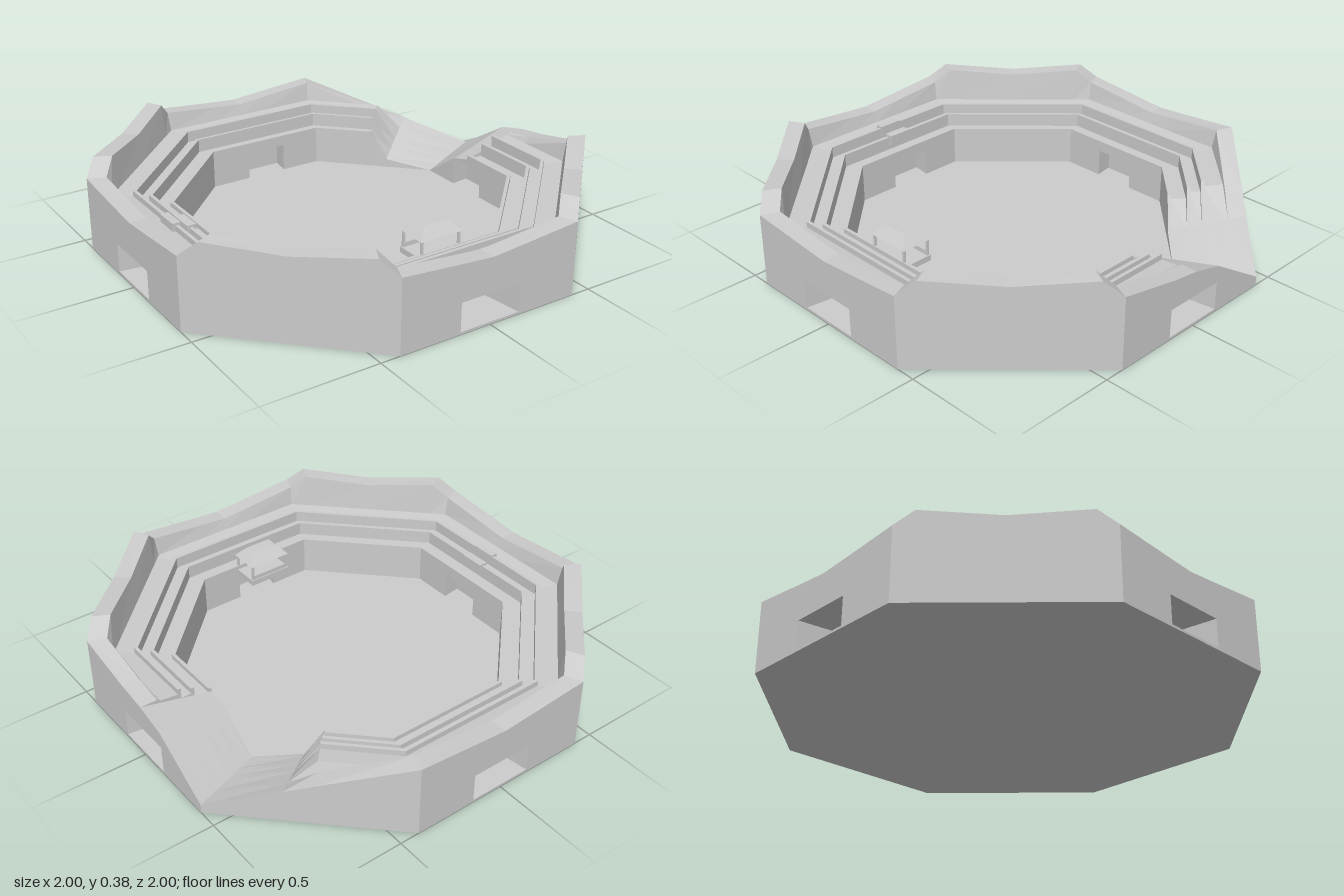
import * as THREE from 'three';

const mat = new THREE.MeshStandardMaterial({ color: 0xcccccc, flatShading: true, side: THREE.DoubleSide });
const FLOOR = 0.01, DOOR = 0.135, IN = 0.675;
const D0 = 0.331, D1 = 0.669; // door limits along a straight side

// point on octagon side s (0 = front, counting towards +x), fraction t, apothem a
function at(s, t, a, y) {
  const r = a / Math.cos(Math.PI / 8);
  const k = (i) => (i - 0.5) * Math.PI / 4;
  const x = THREE.MathUtils.lerp(Math.sin(k(s)), Math.sin(k(s + 1)), t) * r;
  const z = THREE.MathUtils.lerp(Math.cos(k(s)), Math.cos(k(s + 1)), t) * r;
  return new THREE.Vector3(x, y, z);
}

// flat-faced strip between pairs of cross-sections
function loft(pairs) {
  const pos = [];
  for (const [A, B] of pairs) {
    for (let i = 0; i < A.length - 1; i++) {
      for (const p of [A[i], B[i], B[i + 1], A[i], B[i + 1], A[i + 1]]) pos.push(p.x, p.y, p.z);
    }
  }
  const g = new THREE.BufferGeometry();
  g.setAttribute('position', new THREE.Float32BufferAttribute(pos, 3));
  g.computeVertexNormals();
  return g;
}

function add(parent, name, geo, x = 0, y = 0, z = 0) {
  const m = new THREE.Mesh(geo, mat);
  m.name = name;
  m.position.set(x, y, z);
  parent.add(m);
  return m;
}

// seating tiers from the foot of the rim down to the arena wall: [apothem, height]
const TIERS = [
  [0.91, 0.235], [0.83, 0.225], [0.83, 0.25], [0.815, 0.25], [0.815, 0.2], [0.77, 0.2],
  [0.77, 0.225], [0.755, 0.225], [0.755, 0.165], [0.69, 0.165], [0.69, 0.185], [IN, 0.185],
];

// cross-section of the bowl; a given inner height turns the tiers into a rubble ramp
function section(s, [t, h, inner], door) {
  const prof = [[1, h], [0.925, h], ...TIERS].map(([a, y]) => {
    if (inner !== undefined) y = h + (inner - h) * (1 - a) / (1 - IN);
    return at(s, t, a, y);
  });
  const foot = door ? DOOR : 0;
  return [at(s, t, 1, foot), ...prof, at(s, t, IN, foot || FLOOR)];
}

// stops along each side: [fraction, rim height, ramp inner height]
const STRAIGHT = [[0, 0.32], [D0, 0.296], [0.5, 0.285], [D1, 0.296], [1, 0.32]];
const DIAGONAL = [[0, 0.32], [0.1, 0.385], [0.5, 0.36], [0.9, 0.385], [1, 0.32]];
const BROKEN_STRAIGHT = [[0, 0.32], [D0, 0.265], [0.5, 0.245], [0.5, 0.245, 0.165], [D1, 0.21, 0.137], [1, 0.04, FLOOR]];
const BROKEN_DIAGONAL = [[0, 0.04, FLOOR], [0.38, 0.146, 0.05], [0.53, 0.19], [1, 0.32]];

function bowl() {
  const pairs = [];
  for (let s = 0; s < 8; s++) {
    const stops = s === 2 ? BROKEN_STRAIGHT : s === 3 ? BROKEN_DIAGONAL : s % 2 ? DIAGONAL : STRAIGHT;
    for (let i = 0; i < stops.length - 1; i++) {
      const door = s % 2 === 0 && stops[i][0] >= D0 && stops[i + 1][0] <= D1;
      pairs.push([section(s, stops[i], door), section(s, stops[i + 1], door)]);
    }
  }
  return loft(pairs);
}

// tapering passage through a straight side, closed by a gate
function entrance(s) {
  const g = new THREE.Group();
  g.name = 'entrance';
  const frame = (a) => [[D0, FLOOR], [D0, DOOR], [D1, DOOR], [D1, FLOOR]].map(([t, y]) => at(s, t, a, y));
  add(g, 'passage', loft([[frame(1), frame(IN)]]));
  const f = frame(0.76);
  add(g, 'gate', loft([[[f[0], f[1]], [f[3], f[2]]]]));
  return g;
}

// roofed viewing box on the front arena wall
function viewingBox() {
  const g = new THREE.Group();
  g.name = 'viewingBox';
  g.position.set(0, 0, 0.622);
  add(g, 'platform', new THREE.BoxGeometry(0.2, 0.025, 0.14), 0, 0.155, 0);
  add(g, 'parapet', new THREE.BoxGeometry(0.19, 0.02, 0.01), 0, 0.177, -0.06);
  for (const x of [-0.09, 0.09]) {
    for (const z of [-0.06, 0.06]) add(g, 'post', new THREE.BoxGeometry(0.01, 0.075, 0.01), x, 0.205, z);
  }
  // hipped roof with a flat top
  const roof = new THREE.BoxGeometry(0.2, 0.045, 0.14);
  const p = roof.attributes.position;
  for (let i = 0; i < p.count; i++) {
    if (p.getY(i) > 0) p.setXYZ(i, p.getX(i) * 0.6, p.getY(i), p.getZ(i) * 0.4);
  }
  roof.computeVertexNormals();
  add(g, 'roof', roof, 0, 0.262, 0);
  return g;
}

export function createModel() {
  const model = new THREE.Group();
  model.name = 'arena';
  add(model, 'wallsAndTiers', bowl());

  // arena floor and underside
  const r = 1 / Math.cos(Math.PI / 8);
  const base = add(model, 'floor', new THREE.CylinderGeometry(r, r, FLOOR, 8), 0, FLOOR / 2, 0);
  base.rotation.y = Math.PI / 8;

  for (const s of [0, 2, 4, 6]) model.add(entrance(s));
  model.add(viewingBox());

  // raised blocks in the seating on the -x side
  for (const [x, y, w] of [[-0.825, 0.235, 0.035], [-0.76, 0.21, 0.04]]) {
    add(model, 'tierBlock', new THREE.BoxGeometry(w, 0.05, 0.11), x, y, 0);
  }
  return model;
}
